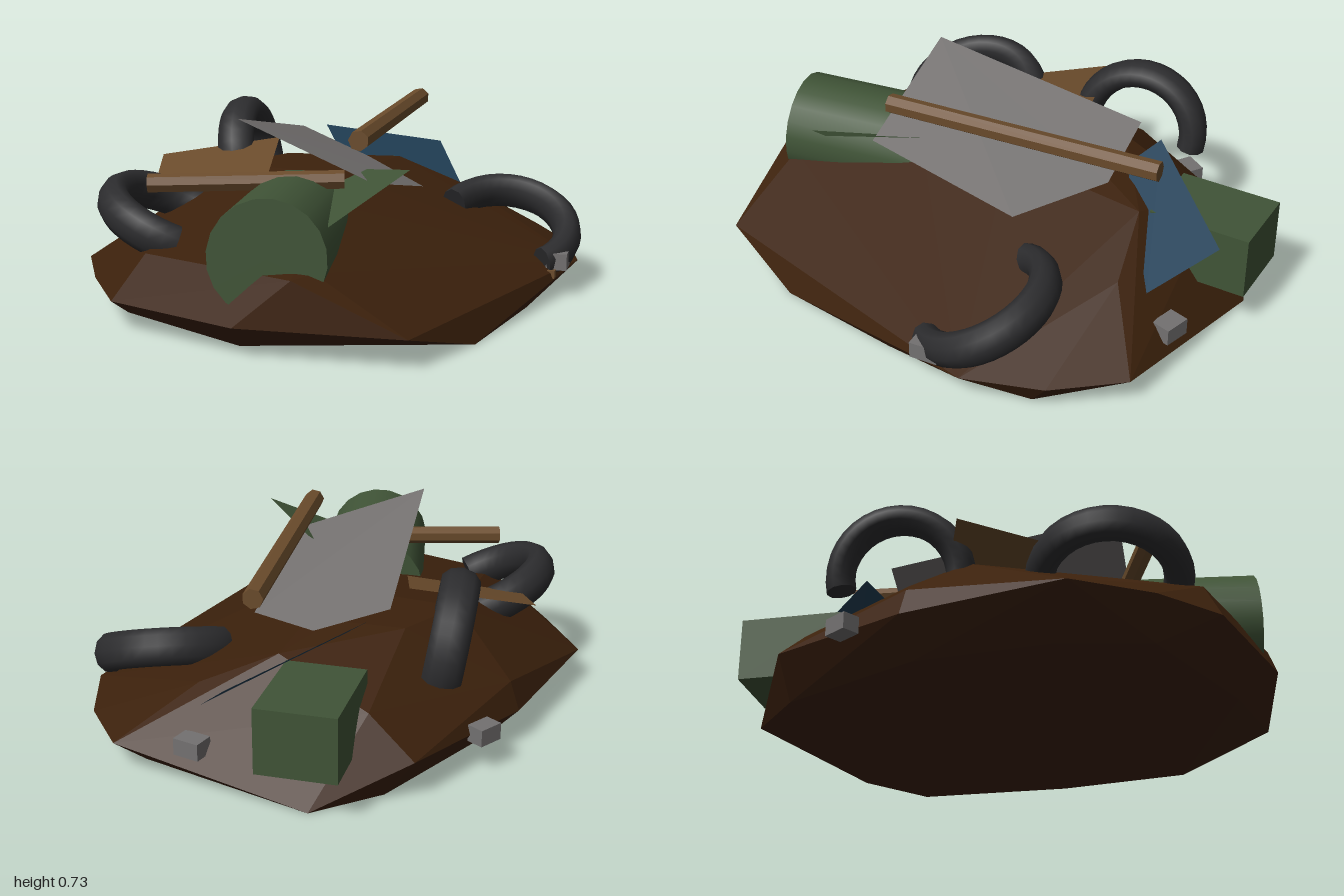
import * as THREE from 'three';
import { ConvexGeometry } from 'three/addons/geometries/ConvexGeometry.js';
import { mergeGeometries } from 'three/addons/utils/BufferGeometryUtils.js';

const V = (p) => new THREE.Vector3(...p);

function material(name, color, options = {}) {
  const m = new THREE.MeshStandardMaterial({ color, ...options });
  m.name = name;
  return m;
}

export function createModel() {
  const both = { side: THREE.DoubleSide };
  const earth = material('earth brown', 0x3c210c);
  const green = material('drab green', 0x405437);
  const greenSheet = material('drab green sheet', 0x405437, both);
  const steel = material('grey steel', 0x747170, both);
  const blue = material('dark blue', 0x224057, both);
  const wood = material('wood', 0x6b4c2c, { flatShading: true });
  const board = material('wood board', 0x6b4c2c, both);
  const rubber = material('black rubber', 0x2c2c2e);
  const stone = material('grey stone', 0x737171);

  const group = new THREE.Group();
  const add = (name, geometry, mat) => {
    const mesh = new THREE.Mesh(geometry, mat);
    mesh.name = name;
    group.add(mesh);
    return mesh;
  };

  // Flat polygon sheet given by its corners
  const sheet = (name, corners, mat) => {
    const points = [];
    for (let i = 1; i < corners.length - 1; i++) {
      points.push(V(corners[0]), V(corners[i]), V(corners[i + 1]));
    }
    const g = new THREE.BufferGeometry().setFromPoints(points);
    g.computeVertexNormals();
    add(name, g, mat);
  };

  // Cylinder between two points
  const rod = (name, a, b, radius, sides, mat) => {
    const start = V(a), end = V(b), dir = end.clone().sub(start);
    const mesh = add(name, new THREE.CylinderGeometry(radius, radius, dir.length(), sides), mat);
    mesh.position.copy(start).add(end).multiplyScalar(0.5);
    mesh.quaternion.setFromUnitVectors(new THREE.Vector3(0, 1, 0), dir.normalize());
  };

  const box = (name, size, position, turn, mat) => {
    const mesh = add(name, new THREE.BoxGeometry(...size), mat);
    mesh.position.set(...position);
    mesh.rotation.y = turn;
  };

  // Broken tyre: exposed points to the middle of the arc, along runs between its closed ends
  const tyre = (name, center, exposed, along, radius) => {
    const arc = Math.PI * 1.13, tube = 0.056;
    const cap = (tilt, angle) =>
      new THREE.CircleGeometry(tube, 10).rotateX(tilt).translate(radius, 0, 0).rotateZ(angle);
    const geometry = mergeGeometries([
      new THREE.TorusGeometry(radius, tube, 10, 20, arc),
      cap(Math.PI / 2, 0),
      cap(-Math.PI / 2, arc),
    ]).rotateZ((Math.PI - arc) / 2).scale(1, 1, 1.35);
    const x = V(along).normalize();
    const z = x.clone().cross(V(exposed)).normalize();
    const y = z.clone().cross(x);
    const mesh = add(name, geometry, rubber);
    mesh.quaternion.setFromRotationMatrix(new THREE.Matrix4().makeBasis(x, y, z));
    mesh.position.set(...center);
  };

  // Faceted mound: foot, rim, shoulder and crown
  const mound = [
    [-0.85, 0, 0.2], [-0.33, 0, 0.84], [0.18, 0, 0.74], [0.75, 0, 0.53], [0.87, 0, 0.25],
    [0.86, 0, -0.47], [0.6, 0, -0.62], [0, 0, -0.7], [-0.5, 0, -0.58], [-0.8, 0, -0.4],
    [-1, 0.11, -0.28], [-0.98, 0.11, 0.28], [-0.72, 0.11, 0.83], [0.58, 0.1, 0.73],
    [0.83, 0.1, 0.54], [1, 0.11, 0.29], [0.58, 0.15, -0.73], [-0.02, 0.13, -0.82],
    [-0.65, 0.13, -0.76], [-0.86, 0.13, -0.51],
    [-0.88, 0.285, 0.46], [-0.78, 0.292, 0.48], [-0.9, 0.28, -0.2], [0.73, 0.3, 0.1], [0.6, 0.3, -0.55],
    [-0.02, 0.24, -0.78],
    [-0.25, 0.39, 0.22], [0, 0.45, 0], [0.3, 0.46, -0.2], [0.2, 0.455, -0.45], [-0.1, 0.45, -0.5], [0.58, 0.42, -0.15],
  ];
  add('mound', new ConvexGeometry(mound.map(V)), earth);

  // Barrel and crate
  rod('barrel', [-0.875, 0.34, 0.35], [-0.35, 0.32, 0.05], 0.21, 20, green);
  box('crate', [0.4, 0.25, 0.3], [0.735, 0.285, -0.4], 0.33, green);

  // Scrap sheets
  sheet('steelSheet', [
    [-0.52, 0.73, -0.09], [-0.34, 0.52, 0.4], [0.26, 0.385, 0.2], [0.39, 0.445, -0.17], [0.29, 0.56, -0.44],
  ], steel);
  sheet('greenSheet', [
    [-0.68, 0.43, 0.46], [-0.38, 0.6, 0.59], [-0.22, 0.54, 0.28], [-0.26, 0.47, 0.15],
  ], greenSheet);
  sheet('blueSheet', [
    [0.42, 0.55, -0.42], [0.36, 0.46, -0.3], [0.81, 0.26, 0.03], [0.95, 0.43, -0.19],
  ], blue);
  sheet('woodBoard', [
    [-0.22, 0.475, -0.77], [-0.47, 0.4, -0.58], [-0.22, 0.47, -0.2], [0.06, 0.55, -0.38],
  ], board);

  // Wooden poles
  rod('longPole', [-0.325, 0.665, 0.32], [0.695, 0.665, -0.125], 0.039, 7, wood);
  rod('shortPole', [-0.77, 0.5, -0.31], [-0.33, 0.515, 0.26], 0.036, 7, wood);

  // Tyres
  tyre('frontTyre', [0.435, 0.22, 0.48], [0.21, 0.07, 0.035], [-0.1, -0.34, 0.9], 0.245);
  tyre('sideTyre', [-0.6, 0.325, -0.34], [-0.14, 0.11, -0.2], [0.22, 0.015, -0.14], 0.25);
  tyre('backTyre', [0.135, 0.41, -0.595], [0, 0.21, -0.04], [0.2, 0, -0.1], 0.225);

  // Loose stones around the rim
  box('frontStone', [0.11, 0.065, 0.08], [0.415, 0.14, 0.735], 0.4, stone);
  box('sideStone', [0.08, 0.065, 0.105], [0.905, 0.145, 0], 0.05, stone);
  box('backStone', [0.1, 0.065, 0.07], [0.23, 0.145, -0.81], -0.25, stone);
  box('woodChip', [0.03, 0.03, 0.03], [0.35, 0.095, 0.745], 0.3, wood);
  return group;
}
